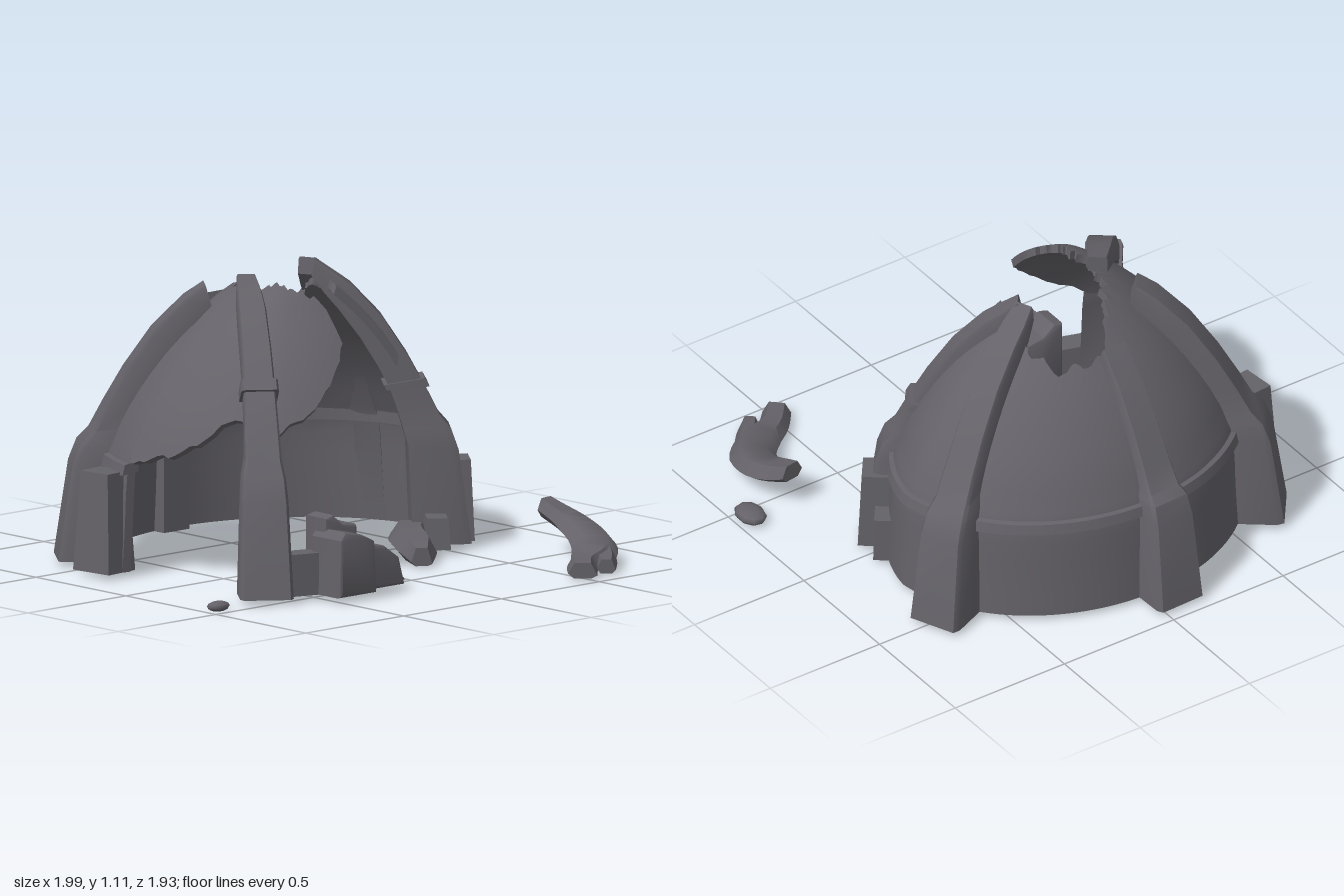
import * as THREE from 'three';
import { toCreasedNormals } from 'three/addons/utils/BufferGeometryUtils.js';

const stone = new THREE.MeshStandardMaterial({ color: 0x646268 });
stone.name = 'dark stone';

let seed = 7;
const rand = () => (seed = (seed * 16807) % 2147483647) / 2147483647;
const jitter = (a) => (rand() - 0.5) * 2 * a;

// linear lookup in a sorted list of [key, value, ...]
function lookup(table, k, col = 1) {
  for (let i = 1; i < table.length; i++) {
    const a = table[i - 1], b = table[i];
    if ((k - a[0]) * (k - b[0]) <= 0) return a[col] + (b[col] - a[col]) * (k - a[0]) / (b[0] - a[0]);
  }
  return table[table.length - 1][col];
}

// closed solid through a row of equal-sized cross-sections
function loft(rings, crease = 0.6) {
  const n = rings[0].length, idx = [];
  const pos = rings.flat(2);
  for (let i = 0; i < rings.length - 1; i++) for (let j = 0; j < n; j++) {
    const a = i * n + j, b = i * n + (j + 1) % n;
    idx.push(a, b, a + n, b, b + n, a + n);
  }
  const last = (rings.length - 1) * n;
  for (let j = 0; j < n / 2 - 1; j++) {
    const k = n - 1 - j;
    idx.push(j, k, j + 1, last + j, last + j + 1, last + k);
    idx.push(j + 1, k, k - 1, last + j + 1, last + k - 1, last + k);
  }
  // turn the faces outward
  const v = (i) => new THREE.Vector3().fromArray(pos, i * 3);
  let vol = 0;
  for (let i = 0; i < idx.length; i += 3) vol += v(idx[i]).dot(v(idx[i + 1]).cross(v(idx[i + 2])));
  if (vol < 0) idx.reverse();
  const g = new THREE.BufferGeometry();
  g.setAttribute('position', new THREE.Float32BufferAttribute(pos, 3));
  g.setIndex(idx);
  return toCreasedNormals(g, crease);
}

// dome profile: radius factor and height
const profile = new THREE.SplineCurve([
  [1, 0.02], [0.985, 0.2], [0.97, 0.4], [0.93, 0.48], [0.85, 0.6],
  [0.72, 0.74], [0.58, 0.86], [0.43, 0.96], [0.28, 1.04], [0.12, 1.08],
].map((p) => new THREE.Vector2(...p)));
const squeeze = [[-180, 1.02], [-83, 1.02], [-70, 1], [84, 1.01], [119, 0.88]];

// the loosened front right part sags outward by up to "slip"
function domePoint(deg, f, y, slip = 0) {
  const a = deg * Math.PI / 180, s = f * lookup(squeeze, deg);
  const k = slip * THREE.MathUtils.smoothstep(-deg, 83, 140);
  return [-0.02 + 0.74 * s * Math.sin(a) - k * 0.6, y + k * 0.4, -0.19 - 0.64 * s * Math.cos(a) + k];
}

// thick shell with ragged limits; limits rows: [angle, low, high] along the profile
function shell(limits, slip, ragLow) {
  const from = limits[0][0], to = limits[limits.length - 1][0], rings = [], n = 16;
  const steps = Math.round(Math.abs(to - from) / 2.5);
  let ragA = 0, ragB = 0;
  for (let i = 0; i <= steps; i++) {
    const deg = from + (to - from) * i / steps;
    ragA = ragA * 0.6 + jitter(ragLow);
    ragB = ragB * 0.6 + jitter(0.14);
    const low = lookup(limits, deg, 1) + ragA;
    const high = lookup(limits, deg, 2) + ragB;
    const outer = [], inner = [];
    for (let j = 0; j <= n; j++) {
      const p = low + (high - low) * j / n;
      const q = profile.getPoint(Math.max(0, p) / 9);
      outer.push(domePoint(deg, q.x, q.y, slip));
      inner.unshift(domePoint(deg, q.x * 0.95, q.y - 0.035 * p / 9, slip));
    }
    rings.push([...outer, ...inner]);
  }
  return loft(rings);
}

// rib stations: outer reach, outer height, inner reach, inner height, half width, share of bulge
const RIB = [
  [1.16, 0.02, 0.93, 0.02, 0.11, 0], [1.09, 0.38, 0.9, 0.4, 0.095, 0], [1.05, 0.46, 0.87, 0.46, 0.088, 0.1],
  [0.99, 0.51, 0.84, 0.52, 0.075, 0.6], [0.92, 0.61, 0.78, 0.62, 0.07, 0.9], [0.82, 0.74, 0.71, 0.7, 0.066, 1],
  [0.68, 0.89, 0.6, 0.81, 0.062, 1], [0.52, 1.01, 0.47, 0.92, 0.058, 0.9], [0.42, 1.06, 0.39, 0.98, 0.052, 0.6],
  [0.33, 1.105, 0.32, 1.04, 0.04, 0],
];

function ribSection({ foot: [fx, fz], top: [tx, tz], wide, bulge, lift, deep }, station, grow = 0) {
  const [go, yo, gi, yi, hw, share] = station;
  const dx = fx - tx, dz = fz - tz, len = Math.hypot(dx, dz), w = hw * wide + grow;
  const at = (depth, side) => {
    const g = go + (gi - deep * gi * gi - go) * depth + bulge * share;
    const out = grow * (1 - 2 * depth), t = (g - 0.33) / 0.83 + out / len;
    return [tx + dx * t - dz / len * w * side, yo + (yi - yo) * depth + out + lift * share, tz + dz * t + dx / len * w * side];
  };
  return [at(0, -0.88), at(0, 0.88), at(0.15, 1), at(1, 1), at(1, -1), at(0.15, -1)];
}

// upright block from an outline in x and y
function slab(points, z0, depth) {
  const shape = new THREE.Shape(points.map((p) => new THREE.Vector2(...p)));
  const g = new THREE.ExtrudeGeometry(shape, {
    depth: depth - 0.03, bevelThickness: 0.015, bevelSize: 0.012, bevelOffset: -0.012, bevelSegments: 2,
  });
  g.translate(0, 0, z0 + 0.015);
  return toCreasedNormals(g, 0.5);
}

// rough block on the ground, narrowing upward
function chunk(x, z, w, h, d, yaw, taper = 0.85) {
  const g = new THREE.BoxGeometry(w, h, d);
  const p = g.attributes.position;
  for (let i = 0; i < p.count; i++) if (p.getY(i) > 0) p.setXYZ(i, p.getX(i) * taper, p.getY(i), p.getZ(i) * taper);
  g.rotateY(yaw).translate(x, 0.02 + h / 2, z);
  return toCreasedNormals(g, 0.5);
}

function pebble(x, z, rx, ry, rz) {
  const g = new THREE.SphereGeometry(1, 9, 6);
  g.scale(rx, ry, rz).translate(x, ry, z);
  return g;
}

// flat curved bar; rows: x, y, z, half width
function bar(rows, thick) {
  const curve = new THREE.CatmullRomCurve3(rows.map((r) => new THREE.Vector3(r[0], r[1], r[2])));
  const rings = [], n = 18, k = rows.length - 1;
  for (let i = 0; i <= n; i++) {
    const c = curve.getPoint(i / n), t = curve.getTangent(i / n);
    const hw = lookup(rows.map((r, j) => [j, r[3]]), i / n * k);
    const side = new THREE.Vector3(-t.z, 0, t.x).normalize();
    rings.push([[-1, -0.4], [-0.55, 1], [0.55, 1], [1, -0.2], [0.6, -1], [-0.6, -1]].map(([s, u]) =>
      [c.x + side.x * hw * s, Math.max(0.005, c.y + thick * u), c.z + side.z * hw * s]));
  }
  return loft(rings, 0.9);
}

export function createModel() {
  const model = new THREE.Group();
  const add = (name, geometry) => {
    const m = new THREE.Mesh(geometry, stone);
    m.name = name;
    model.add(m);
  };

  // broken dome shells
  add('backShell', shell([
    [-83, 0, 8.1], [-60, 0, 8.1], [-45, 0, 8.1], [-25, 0, 7.8], [-14, 0, 7.4], [-3, 0, 6.7], [10, 0, 6.5],
    [35, 0, 6.5], [50, 0, 7.1], [60, 0, 7.6], [90, 0, 7.7], [119, 0, 7.7]], 0, 0));
  add('hangingShell', shell([
    [-172, 6.1, 7.2], [-166, 5.3, 7.6], [-158, 4.7, 7.8], [-148, 4.1, 8.1], [-137, 3.7, 8.3],
    [-125, 4.0, 8.3], [-112, 3.7, 8.2], [-100, 3.1, 8.1], [-83, 2.4, 8.1]], 0.06, 0.14));

  // ledge running round the wall, and the post under it at the back
  const ledge = [];
  for (let a = -83; a <= 119; a += 4) {
    ledge.push([[1.0, 0.39], [0.985, 0.43], [0.9, 0.445], [0.9, 0.4]].map(([f, y]) => domePoint(a, f, y)));
  }
  add('wallLedge', loft(ledge));
  add('backPost', chunk(-0.06, -0.78, 0.13, 0.39, 0.08, 0, 0.97));

  // ribs; count is how many stations survive, collar the station it sits on
  const ribs = [
    { name: 'backRib', foot: [-0.07, -0.96], top: [-0.05, -0.4], wide: 0.95, count: 8, lift: -0.045, bulge: 0, deep: 0 },
    { name: 'backLeftRib', foot: [0.785, -0.535], top: [0.18, -0.27], wide: 0.97, count: 10, lift: 0, bulge: 0, deep: 0 },
    { name: 'backRightRib', foot: [-0.74, -0.67], top: [-0.24, -0.29], wide: 1, count: 9, lift: 0, bulge: 0, deep: 0 },
    { name: 'frontRightRib', foot: [-0.74, 0.505], top: [-0.22, -0.18], wide: 0.92, count: 10, collar: 5, lift: 0.02, bulge: 0.05, deep: -0.09 },
    { name: 'frontLeftRib', foot: [0.64, 0.13], top: [0.18, -0.23], wide: 0.87, count: 10, collar: 4, lift: 0, bulge: 0, deep: 0.1 },
  ];
  for (const rib of ribs) {
    add(rib.name, loft(RIB.slice(0, rib.count).map((s) => ribSection(rib, s))));
    if (rib.collar) {
      const a = RIB[rib.collar], b = a.map((v, i) => v + (RIB[rib.collar + 1][i] - v) * 0.25);
      add(rib.name + 'Collar', loft([a, b].map((s) => ribSection(rib, s, 0.011))));
    }
  }

  // wall stub beside the gap and blocks around the front left foot
  add('wallStub', chunk(-0.78, -0.36, 0.15, 0.38, 0.18, 0.1, 0.75));
  add('footBlock', chunk(0.64, -0.04, 0.11, 0.18, 0.14, -0.65, 0.95));
  add('footBlock', chunk(0.6, 0.05, 0.19, 0.31, 0.15, -0.65, 0.85));
  add('footBlock', chunk(0.44, 0.16, 0.1, 0.12, 0.12, -0.65, 0.8));
  add('leftRubble', bar([[0.44, 0.06, 0.02, 0.08], [0.34, 0.065, 0.12, 0.08], [0.27, 0.05, 0.24, 0.075], [0.2, 0.03, 0.34, 0.04]], 0.045));

  // broken front wall remains
  add('frontWallRemains', slab([[-0.52, 0.02], [-0.515, 0.24], [-0.49, 0.27], [-0.4, 0.25], [-0.34, 0.22], [-0.33, 0.02]], 0.5, 0.17));
  add('frontWallRemains', slab([[-0.5, 0.02], [-0.5, 0.31], [-0.46, 0.32], [-0.41, 0.28], [-0.34, 0.27], [-0.32, 0.02]], 0.45, 0.12));
  add('frontWallRemains', slab([[-0.34, 0.02], [-0.34, 0.2], [-0.24, 0.18], [-0.17, 0.13], [-0.14, 0.02]], 0.5, 0.12));
  add('frontWallRemains', slab([[-0.2, 0.02], [-0.18, 0.08], [-0.12, 0.07], [-0.08, 0.02]], 0.49, 0.07));
  add('frontSill', chunk(-0.56, 0.49, 0.22, 0.16, 0.09, -0.3, 0.95));

  // fallen rib piece with a split end
  add('fallenRib', bar([[0.77, 0.17, 0.41, 0.05], [0.79, 0.115, 0.55, 0.08], [0.755, 0.075, 0.69, 0.09],
    [0.66, 0.05, 0.79, 0.085], [0.56, 0.035, 0.845, 0.06], [0.48, 0.03, 0.93, 0.055]], 0.035));
  add('fallenRibProng', bar([[0.72, 0.05, 0.78, 0.05], [0.66, 0.04, 0.86, 0.045], [0.61, 0.03, 0.92, 0.035]], 0.03));

  // loose stones
  add('looseStone', pebble(0.94, 0.44, 0.056, 0.026, 0.075));
  add('looseStone', pebble(-0.95, 0.46, 0.05, 0.02, 0.035));
  return model;
}
